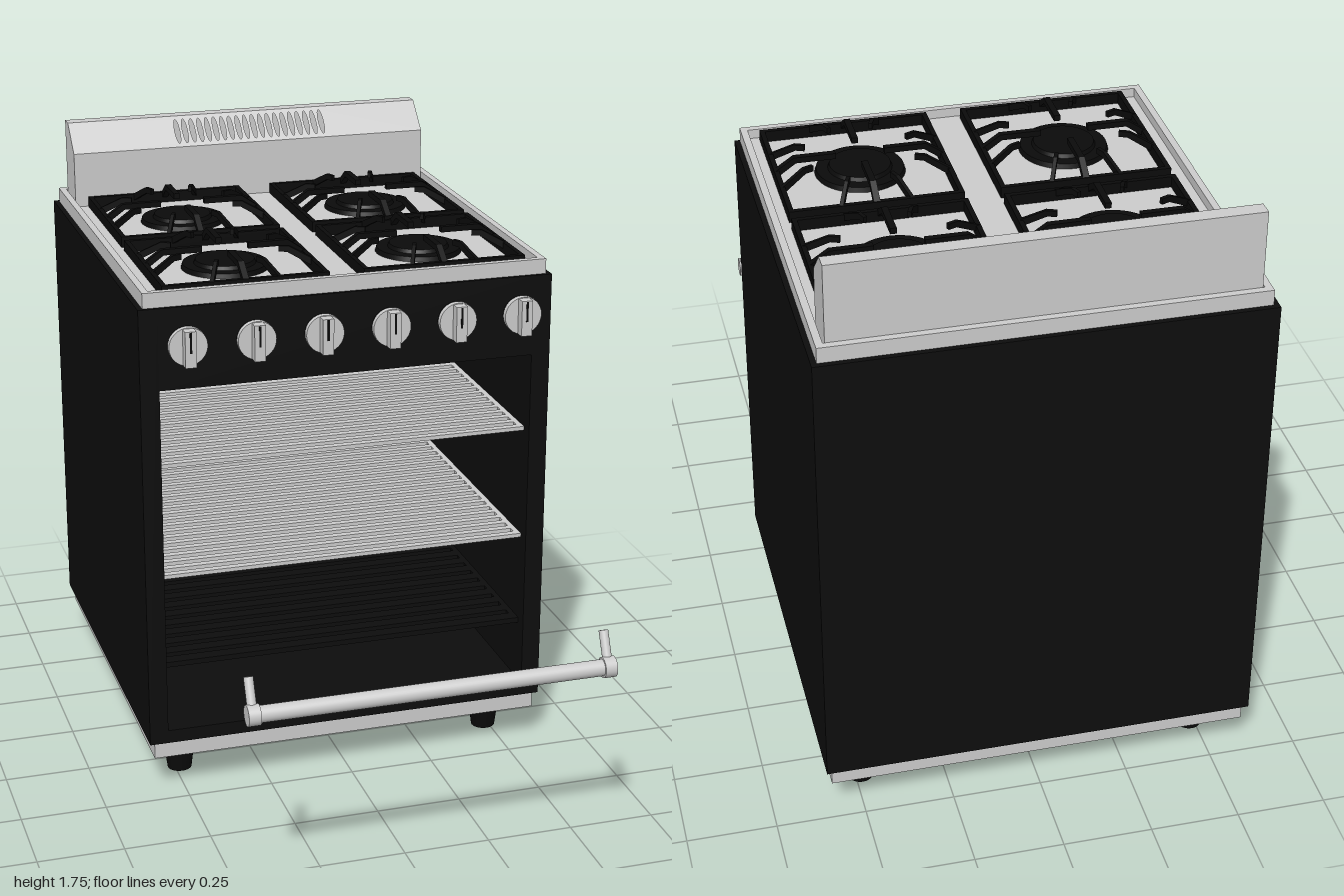
import * as THREE from 'three';

const mat = (name, color, side = THREE.FrontSide) => {
  const m = new THREE.MeshStandardMaterial({ color, side });
  m.name = name;
  return m;
};

export function createModel() {
  const black = mat('black enamel', 0x0d0d0d);
  const iron = mat('cast iron', 0x0a0a0a);
  const steel = mat('brushed steel', 0xcccccc);
  const steelSheet = mat('steel sheet', 0xcccccc, THREE.DoubleSide);

  const root = new THREE.Group();
  root.name = 'stove';

  const group = (name, parent = root) => {
    const g = new THREE.Group();
    g.name = name;
    parent.add(g);
    return g;
  };
  const add = (name, geo, m, parent, x = 0, y = 0, z = 0) => {
    const mesh = new THREE.Mesh(geo, m);
    mesh.name = name;
    mesh.position.set(x, y, z);
    parent.add(mesh);
    return mesh;
  };
  // Box given by its minimum and maximum corners
  const box = (name, m, parent, x0, x1, y0, y1, z0, z1) =>
    add(name, new THREE.BoxGeometry(x1 - x0, y1 - y0, z1 - z0), m, parent,
      (x0 + x1) / 2, (y0 + y1) / 2, (z0 + z1) / 2);
  const polygon = (pts) => new THREE.Shape(pts.map(([a, b]) => new THREE.Vector2(a, b)));

  // Cabinet with an open oven cavity
  const cabinet = group('cabinet');
  for (const s of [-1, 1]) {
    box(s > 0 ? 'leftWall' : 'rightWall', black, cabinet,
      s > 0 ? 0.55 : -0.605, s > 0 ? 0.605 : -0.55, 0.16, 1.488, -1, 0.21);
  }
  box('backWall', black, cabinet, -0.55, 0.55, 0.16, 1.488, -1, -0.95);
  box('controlPanel', black, cabinet, -0.55, 0.55, 1.25, 1.488, -0.95, 0.21);
  box('cavityFloor', black, cabinet, -0.55, 0.55, 0.16, 0.2, -0.95, 0.21);
  box('basePlate', steel, root, -0.59, 0.59, 0.11, 0.16, -0.985, 0.2);

  // Feet
  for (const x of [-0.485, 0.485]) {
    for (const z of [0.06, -0.845]) {
      add('foot', new THREE.CylinderGeometry(0.05, 0.036, 0.112, 24), iron, root, x, 0.056, z);
    }
  }

  // Oven racks: side rails and cross bars
  const rack = (name, y, m, count, width, height) => {
    const g = group(name);
    for (const s of [-1, 1]) {
      box('rackRail', m, g, s * 0.542 - 0.008, s * 0.542 + 0.008,
        y - height / 2, y + height / 2, -0.94, 0.17);
    }
    for (let i = 0; i < count; i++) {
      const z = 0.17 - width / 2 - (i * (1.11 - width)) / (count - 1);
      add('rackBar', new THREE.BoxGeometry(1.09, height, width), m, g, 0, y, z);
    }
  };
  rack('upperRack', 1.01, steel, 25, 0.022, 0.012);
  rack('middleRack', 0.67, steel, 25, 0.022, 0.012);
  rack('lowerTray', 0.392, black, 18, 0.04, 0.016);

  // Cooktop: recessed floor inside a raised rim
  const top = group('cooktop');
  box('cooktopFloor', steel, top, -0.59, 0.59, 1.488, 1.505, -0.985, 0.2);
  for (const s of [-1, 1]) {
    box('sideRim', steel, top, s * 0.58 - 0.01, s * 0.58 + 0.01, 1.505, 1.532, -0.985, 0.2);
  }
  box('frontRim', steel, top, -0.57, 0.57, 1.505, 1.532, 0.18, 0.2);
  box('backRim', steel, top, -0.57, 0.57, 1.505, 1.532, -0.985, -0.965);

  // Burners with square grates and rising fingers
  const finger = (start, end, thickness) => {
    const geo = new THREE.ExtrudeGeometry(polygon([
      [start, 1.515], [start, 1.537], [0.185, 1.572], [end, 1.572], [end, 1.555], [0.18, 1.555],
    ]), { depth: thickness, bevelEnabled: false });
    return geo.translate(0, 0, -thickness / 2);
  };
  const burner = (x, z) => {
    const g = group('burner', top);
    g.position.set(x, 0, z);
    add('burnerBase', new THREE.CylinderGeometry(0.122, 0.126, 0.014, 40), iron, g, 0, 1.512, 0);
    add('burnerCap', new THREE.CylinderGeometry(0.085, 0.09, 0.012, 40), iron, g, 0, 1.524, 0);
    for (const s of [-1, 1]) {
      box('grateSide', iron, g, s * 0.234 - 0.007, s * 0.234 + 0.007, 1.505, 1.537, -0.241, 0.241);
      box('grateEnd', iron, g, -0.227, 0.227, 1.505, 1.537, s * 0.234 - 0.007, s * 0.234 + 0.007);
    }
    for (let i = 0; i < 16; i++) {
      if (i % 4 === 2) continue; // corners stay open
      const main = i % 4 === 0;
      const geo = main ? finger(0.236, 0.068, 0.018) : finger(0.255, 0.155, 0.011);
      add(main ? 'mainFinger' : 'shortFinger', geo, iron, g).rotation.y = (i * Math.PI) / 8;
    }
  };
  for (const x of [-0.285, 0.298]) for (const z of [-0.592, -0.077]) burner(x, z);

  // Backsplash: hollow hood with a slotted sloping face
  const hood = group('backsplash');
  box('hoodFront', steel, hood, -0.565, 0.565, 1.505, 1.672, -0.848, -0.84);
  box('hoodBack', steel, hood, -0.565, 0.565, 1.505, 1.752, -0.965, -0.957);
  box('hoodTop', steel, hood, -0.565, 0.565, 1.744, 1.752, -0.957, -0.922);
  for (const s of [-1, 1]) {
    const end = new THREE.ExtrudeGeometry(polygon([
      [0.84, 1.505], [0.965, 1.505], [0.965, 1.752], [0.922, 1.752], [0.84, 1.672],
    ]), { depth: 0.006, bevelEnabled: false });
    end.rotateY(Math.PI / 2).translate(s * 0.562 - 0.003, 0, 0);
    add('hoodEnd', end, steel, hood);
  }
  const slopeLength = Math.hypot(0.082, 0.08);
  const slope = polygon([[-0.565, 0], [0.565, 0], [0.565, slopeLength], [-0.565, slopeLength]]);
  for (let i = 0; i < 20; i++) {
    const slot = new THREE.Path();
    slot.absellipse(-0.227 + i * 0.0247, slopeLength / 2, 0.008, 0.044, 0, Math.PI * 2, true);
    slope.holes.push(slot);
  }
  add('ventPanel', new THREE.ShapeGeometry(slope, 10), steelSheet, hood, 0, 1.672, -0.84)
    .rotation.x = -Math.atan2(0.082, 0.08);

  // Control knobs
  for (let i = 0; i < 6; i++) {
    const k = group('knob');
    k.position.set(-0.475 + i * 0.196, 1.385, 0);
    const disc = (name, r, z0, z1, m) =>
      add(name, new THREE.CylinderGeometry(r, r, z1 - z0, 32).rotateX(Math.PI / 2), m, k, 0, 0, (z0 + z1) / 2);
    disc('knobBacking', 0.053, 0.225, 0.234, iron);
    disc('knobDial', 0.055, 0.234, 0.252, steel);
    box('knobGrip', steel, k, -0.016, 0.016, -0.052, 0.052, 0.252, 0.282);
    box('knobPointer', iron, k, -0.003, 0.003, -0.01, 0.05, 0.279, 0.283);
  }

  // Door handle: bar, end collars and angled posts
  const handle = group('doorHandle');
  handle.position.set(0, 0.613, 0.971);
  const rod = (name, r, length, x) =>
    add(name, new THREE.CylinderGeometry(r, r, length, 32).rotateZ(Math.PI / 2), steel, handle, x);
  rod('handleBar', 0.023, 0.98, 0);
  for (const s of [-1, 1]) {
    rod('handleCollar', 0.029, 0.034, s * 0.496);
    const post = new THREE.CylinderGeometry(0.013, 0.013, 0.1, 20).translate(0, 0.05, 0);
    add('handlePost', post, steel, handle, s * 0.496, 0, 0).rotation.x = -0.44;
  }

  return root;
}
